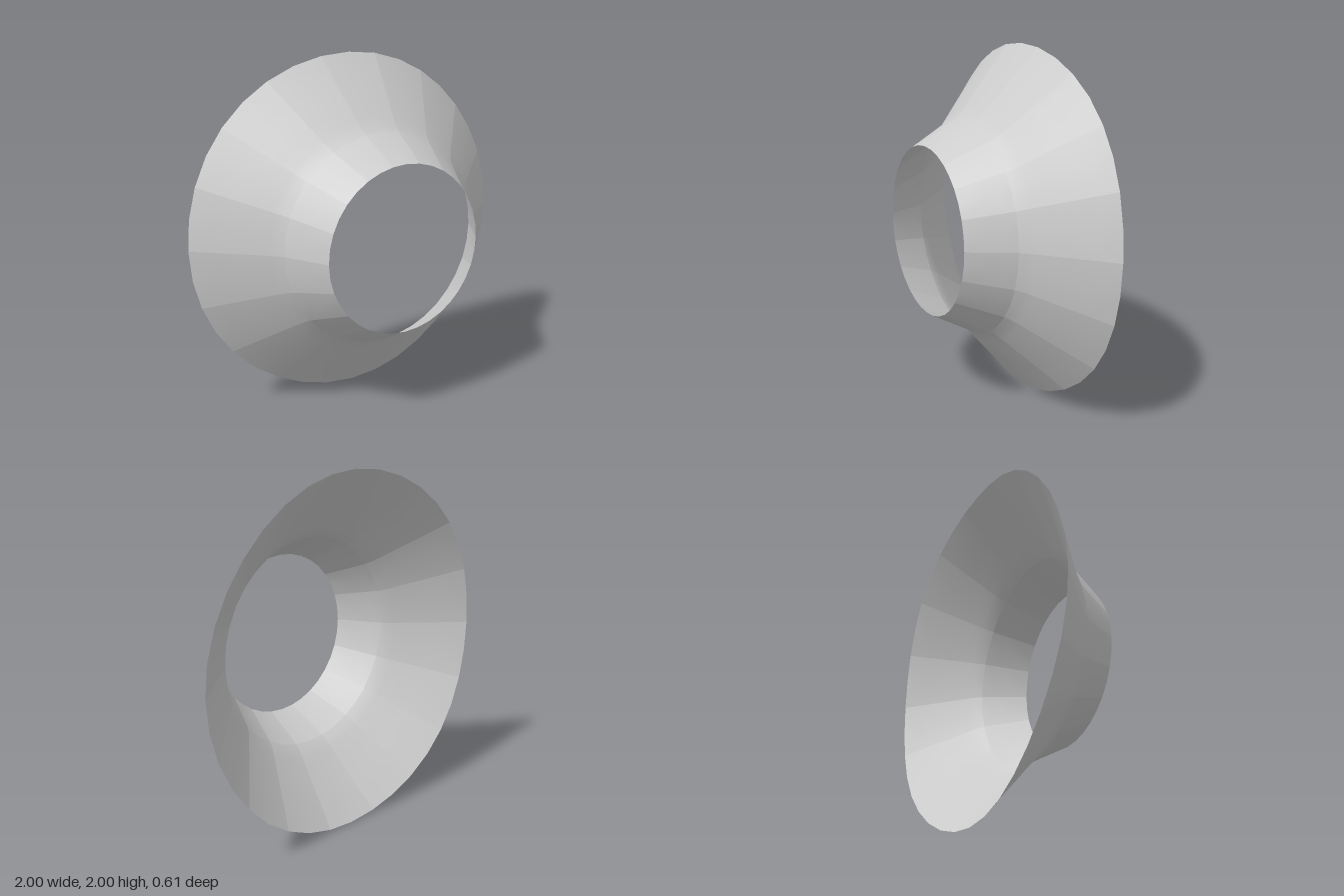
import * as THREE from 'three';

const GORES = 18;
const STEP = (Math.PI * 2) / GORES;
const NECK = 0.605;

// Profiles as (radius, z), from the wide rim towards the front opening
const flareProfile = [[1, -0.297], [0.9, -0.21], [0.82, -0.138], [0.74, -0.066], [0.665, 0.0], [0.63, 0.035], [NECK, 0.065]];
const collarProfile = [[NECK, 0.065], [0.575, 0.118], [0.538, 0.185], [0.472, 0.305]];

// One gore of two flat facets, smooth inside and creased at its borders
function gore(profile, index) {
  const points = profile.map(([r, z]) => new THREE.Vector2(r, z));
  const geometry = new THREE.LatheGeometry(points, 2, (index + 0.5) * STEP, STEP);
  geometry.rotateX(Math.PI / 2);
  const p = geometry.attributes.position;
  // Gentle four-fold wave that grows towards the rim
  for (let i = 0; i < p.count; i++) {
    const x = p.getX(i), y = p.getY(i);
    const grow = Math.max(0, (Math.hypot(x, y) - NECK) / (1 - NECK));
    p.setZ(i, p.getZ(i) + 0.01 * grow * Math.cos(4 * Math.atan2(y, x)));
  }
  geometry.computeVertexNormals();
  return geometry;
}

export function createModel() {
  const model = new THREE.Group();
  model.name = 'flaredRing';
  const material = new THREE.MeshStandardMaterial({ color: 0xcccccc, side: THREE.DoubleSide });

  for (const [name, profile] of [['flare', flareProfile], ['collar', collarProfile]]) {
    const part = new THREE.Group();
    part.name = name;
    for (let i = 0; i < GORES; i++) {
      const mesh = new THREE.Mesh(gore(profile, i), material);
      mesh.name = name + 'Gore';
      part.add(mesh);
    }
    part.position.y = 1;
    model.add(part);
  }
  return model;
}
